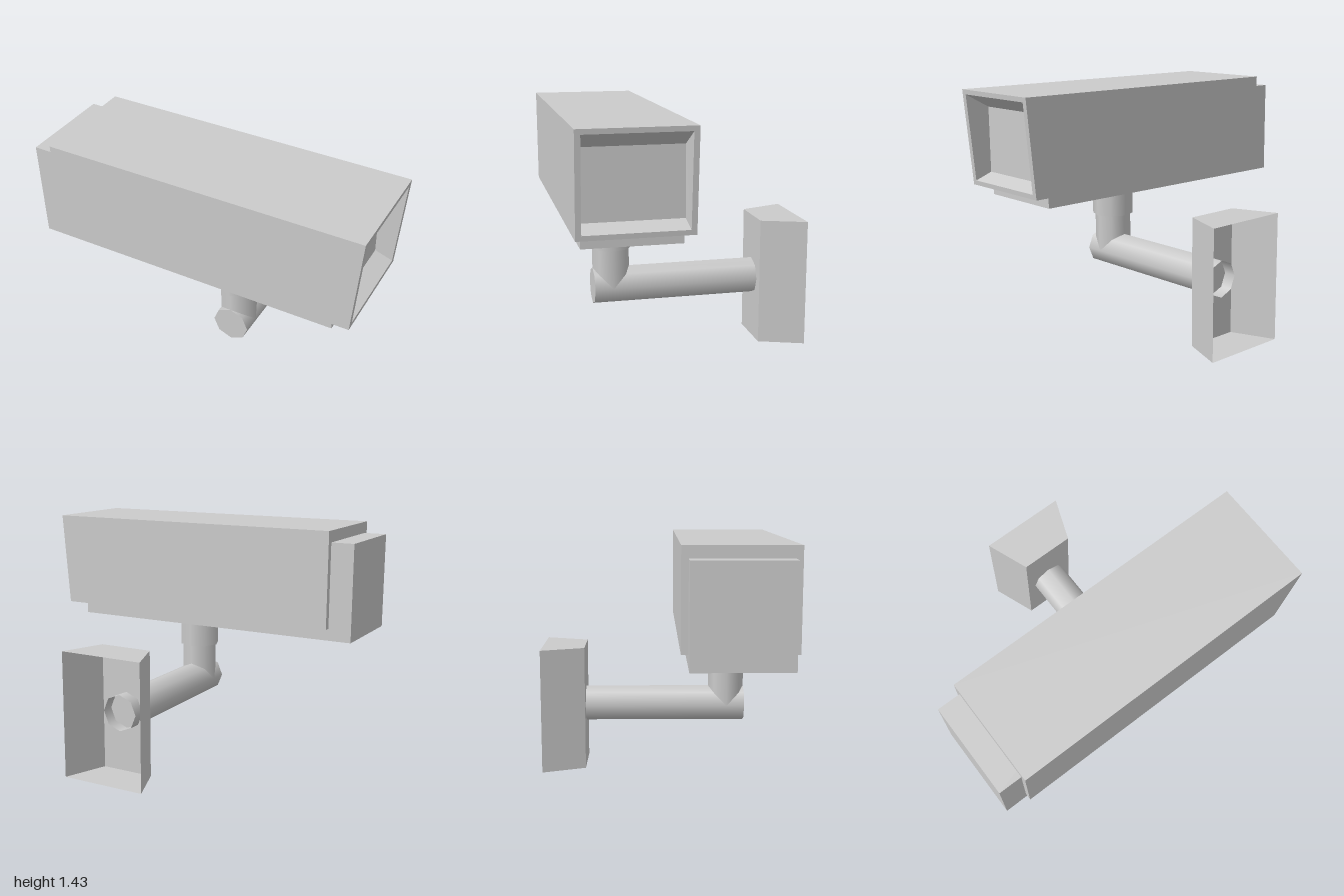
import * as THREE from 'three';

const grey = (opts = {}) => new THREE.MeshStandardMaterial({ color: 0xcccccc, ...opts });

// Joins four-cornered rings into a flat-faced skin, with optional end caps.
function loft(rings, capStart, capEnd) {
  const pos = [];
  const quad = (a, b, c, d) => pos.push(...a, ...b, ...c, ...a, ...c, ...d);
  for (let r = 0; r < rings.length - 1; r++) {
    const p = rings[r], q = rings[r + 1];
    for (let i = 0; i < 4; i++) {
      const j = (i + 1) % 4;
      quad(p[i], p[j], q[j], q[i]);
    }
  }
  if (capStart) quad(...[...rings[0]].reverse());
  if (capEnd) quad(...rings[rings.length - 1]);
  const geo = new THREE.BufferGeometry();
  geo.setAttribute('position', new THREE.Float32BufferAttribute(pos, 3));
  geo.computeVertexNormals();
  return geo;
}

export function createModel() {
  const model = new THREE.Group();
  model.name = 'securityCamera';
  const add = (name, geo, mat, x = 0, y = 0, z = 0) => {
    const mesh = new THREE.Mesh(geo, mat);
    mesh.name = name;
    mesh.position.set(x, y, z);
    model.add(mesh);
    return mesh;
  };
  const flat = grey({ flatShading: true });
  const thin = grey({ flatShading: true, side: THREE.DoubleSide });
  const armX = 0.14, armY = 0.38, midZ = 0.411, pipeR = 0.11;

  // Camera body, showing behind and below the hood
  add('body', new THREE.BoxGeometry(1.84, 0.57, 0.55), flat, -0.08, 1.077, midZ);

  // Hood with a slanted front and a tapering lens recess
  const slant = (y) => 0.95 + 0.05 * (y - 0.86) / 0.57;
  const hoodRing = (xAt, y0, y1, halfZ) =>
    [[y0, 1], [y0, -1], [y1, -1], [y1, 1]].map(([y, s]) => [xAt(y), y, midZ + s * halfZ]);
  add('hood', loft([
    hoodRing(() => -0.863, 0.862, 1.43, 0.314),
    hoodRing(slant, 0.862, 1.43, 0.314),
    hoodRing(slant, 0.89, 1.402, 0.283),
    hoodRing(() => 0.851, 0.93, 1.32, 0.278),
  ], true, true), flat);

  // Collar and upright pipe under the body
  add('collar', new THREE.CylinderGeometry(0.125, 0.125, 0.19, 8), grey(), armX, 0.707, midZ);
  add('uprightPipe', new THREE.CylinderGeometry(pipeR, pipeR, 0.27, 8), grey(), armX, 0.515, midZ);

  // Arm pipe, closed in front and open behind the wall mount's face
  const armFront = midZ + pipeR, armBack = -0.54;
  const arm = new THREE.CylinderGeometry(pipeR, pipeR, armFront - armBack, 8, 1, true).rotateX(Math.PI / 2);
  add('armPipe', arm, grey({ side: THREE.DoubleSide }), armX, armY, (armFront + armBack) / 2);
  add('armEndCap', new THREE.CircleGeometry(pipeR, 8), flat, armX, armY, armFront);

  // Hollow wall mount, open at the back
  const mountRing = (halfX, z) =>
    [[-1, 0], [1, 0], [1, 0.757], [-1, 0.757]].map(([s, y]) => [armX + s * halfX, y, z]);
  add('wallMount', loft([mountRing(0.262, -0.725), mountRing(0.163, -0.465)], false, true), thin);

  return model;
}
